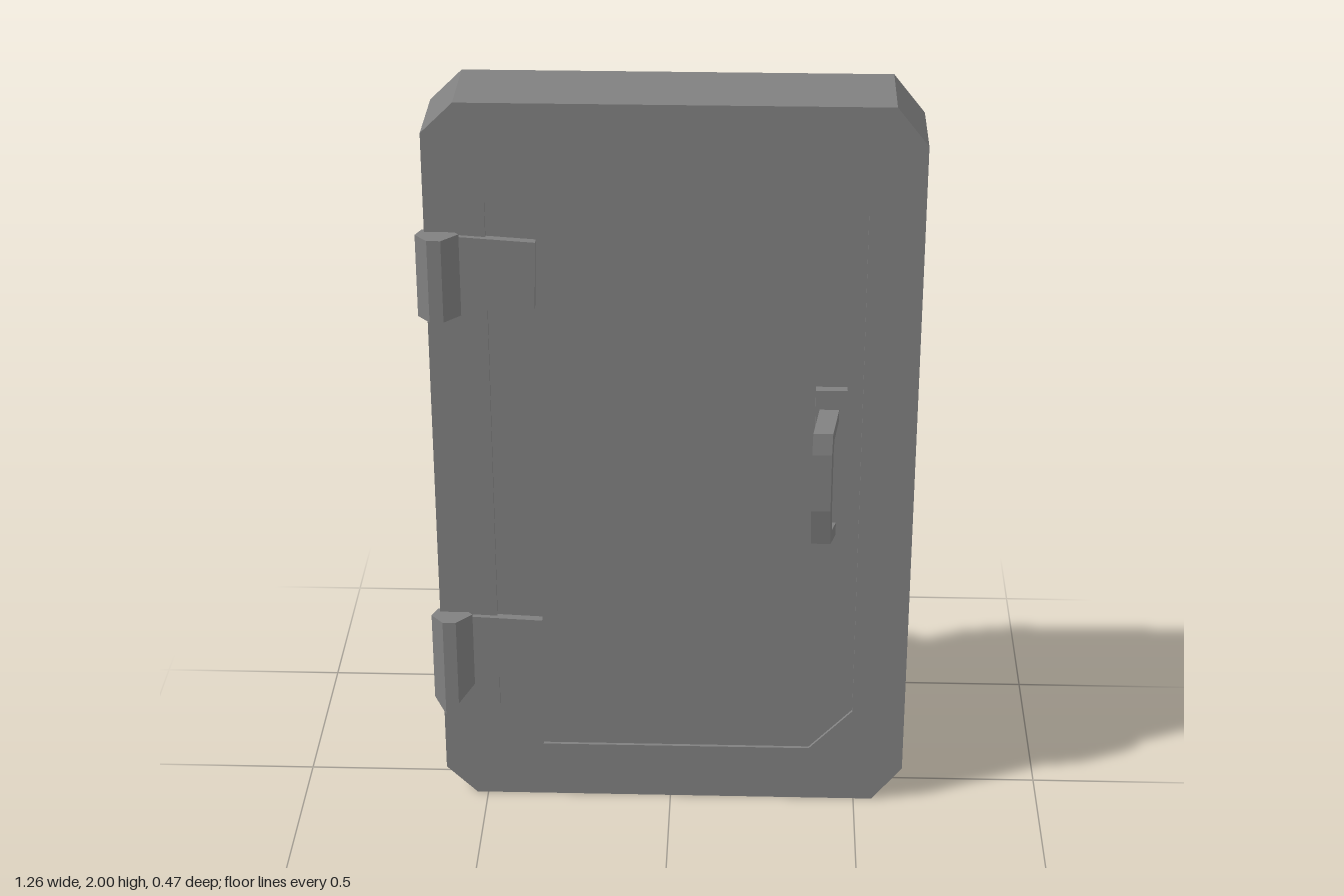
import * as THREE from 'three';

const steel = new THREE.MeshStandardMaterial({ color: 0x808080 });
steel.name = 'grey steel';

const toShape = (pts) => new THREE.Shape(pts.map(([x, y]) => new THREE.Vector2(x, y)));

// Rectangle with cut corners (cx, cy = size of the cuts)
const octagon = (x0, x1, y0, y1, cx, cy) => [
  [x0 + cx, y0], [x1 - cx, y0], [x1, y0 + cy], [x1, y1 - cy],
  [x1 - cx, y1], [x0 + cx, y1], [x0, y1 - cy], [x0, y0 + cy],
];

function extrude(shape, depth) {
  return new THREE.ExtrudeGeometry(shape, { depth, bevelEnabled: false });
}

function addMesh(parent, name, geometry) {
  const mesh = new THREE.Mesh(geometry, steel);
  mesh.name = name;
  parent.add(mesh);
  return mesh;
}

// Slab with an outline in x, y between two depths
function slab(parent, name, pts, z0, z1) {
  return addMesh(parent, name, extrude(toShape(pts), z1 - z0).translate(0, 0, z0));
}

// Moves vertices by a rule, then refreshes the flat normals
function bend(geometry, rule) {
  const p = geometry.attributes.position;
  const v = new THREE.Vector3();
  for (let i = 0; i < p.count; i++) {
    v.fromBufferAttribute(p, i);
    rule(v);
    p.setXYZ(i, v.x, v.y, v.z);
  }
  geometry.computeVertexNormals();
  return geometry;
}

// Hinge barrel: outline in x, z raised from y0 to y1
function barrel(parent, pts, y0, y1, rule) {
  const g = extrude(toShape(pts.map(([x, z]) => [x, -z])), y1 - y0);
  g.rotateX(-Math.PI / 2).translate(0, y0, 0);
  addMesh(parent, 'hingeBarrel', rule ? bend(g, rule) : g);
}

// Handle grip: side outline in z, y with an opening, leaning towards -x
function grip(parent, outer, inner) {
  const shape = toShape(outer);
  shape.holes.push(toShape(inner));
  const g = extrude(shape, 0.05).rotateY(-Math.PI / 2).translate(0.43, 0, 0);
  addMesh(parent, 'handleGrip', bend(g, (v) => { v.x -= (Math.abs(v.z) - 0.12) * 0.16; }));
}

export function createModel() {
  const door = new THREE.Group();
  door.name = 'door';

  // Surrounding frame with clipped corners
  const outline = toShape([
    [-0.53, 0], [0.55, 0], [0.63, 0.1], [0.63, 1.9],
    [0.55, 2], [-0.53, 2], [-0.612, 1.92], [-0.612, 0.08],
  ]);
  outline.holes.push(toShape(octagon(-0.46, 0.49, 0.16, 1.86, 0.115, 0.12)));
  addMesh(door, 'frame', extrude(outline, 0.24).translate(0, 0, -0.135));

  // Leaf set slightly back inside the frame
  slab(door, 'leaf', octagon(-0.47, 0.5, 0.15, 1.87, 0.115, 0.12), -0.125, 0.096);

  // Hinges on both faces
  const frontBarrel = [[-0.62, 0.09], [-0.55, 0.09], [-0.525, 0.118],
    [-0.565, 0.163], [-0.6, 0.163], [-0.633, 0.125]];
  const backBarrel = [[-0.615, -0.115], [-0.633, -0.155], [-0.6, -0.2],
    [-0.568, -0.2], [-0.528, -0.165], [-0.528, -0.125]];
  for (const [name, y0, y1] of [['lowerHinge', 0.355, 0.57], ['upperHinge', 1.44, 1.66]]) {
    const hinge = new THREE.Group();
    hinge.name = name;
    door.add(hinge);
    const lower = y0 < 1;
    // The lower front barrel ends in a point
    barrel(hinge, frontBarrel, y0, y1, lower && ((v) => {
      if (v.y < 0.4) v.y -= 0.07 * Math.max(0, 1 - Math.abs(v.x + 0.6) / 0.07);
    }));
    barrel(hinge, backBarrel, y0, y1);
    const leafPts = lower
      ? [[-0.56, 0.36], [-0.42, 0.4], [-0.34, 0.555], [-0.56, 0.565]]
      : [[-0.56, 1.45], [-0.34, 1.46], [-0.335, 1.64], [-0.56, 1.655]];
    slab(hinge, 'frontHingePlate', leafPts, 0.08, 0.118);
    slab(hinge, 'backHingePlate', [[-0.56, y0 + 0.01], [-0.335, y0 + 0.015],
      [-0.335, y1 - 0.015], [-0.56, y1 - 0.01]], -0.152, -0.11);
  }

  // Handles with backing plates
  const handles = new THREE.Group();
  handles.name = 'handles';
  door.add(handles);
  const plate = [[0.37, 0.775], [0.455, 0.775], [0.45, 1.245], [0.37, 1.245]];
  slab(handles, 'frontHandlePlate', plate, 0.08, 0.12);
  slab(handles, 'backHandlePlate', plate, -0.147, -0.11);
  grip(handles,
    [[0.1, 0.825], [0.215, 0.855], [0.235, 0.96], [0.235, 1.12], [0.224, 1.175], [0.1, 1.195]],
    [[0.118, 0.865], [0.195, 0.885], [0.206, 0.97], [0.206, 1.11], [0.197, 1.145], [0.118, 1.16]]);
  grip(handles,
    [[-0.12, 0.825], [-0.215, 0.855], [-0.232, 0.9], [-0.222, 1.18], [-0.12, 1.2]],
    [[-0.14, 0.86], [-0.192, 0.875], [-0.155, 1.155], [-0.14, 1.17]]);

  return door;
}
